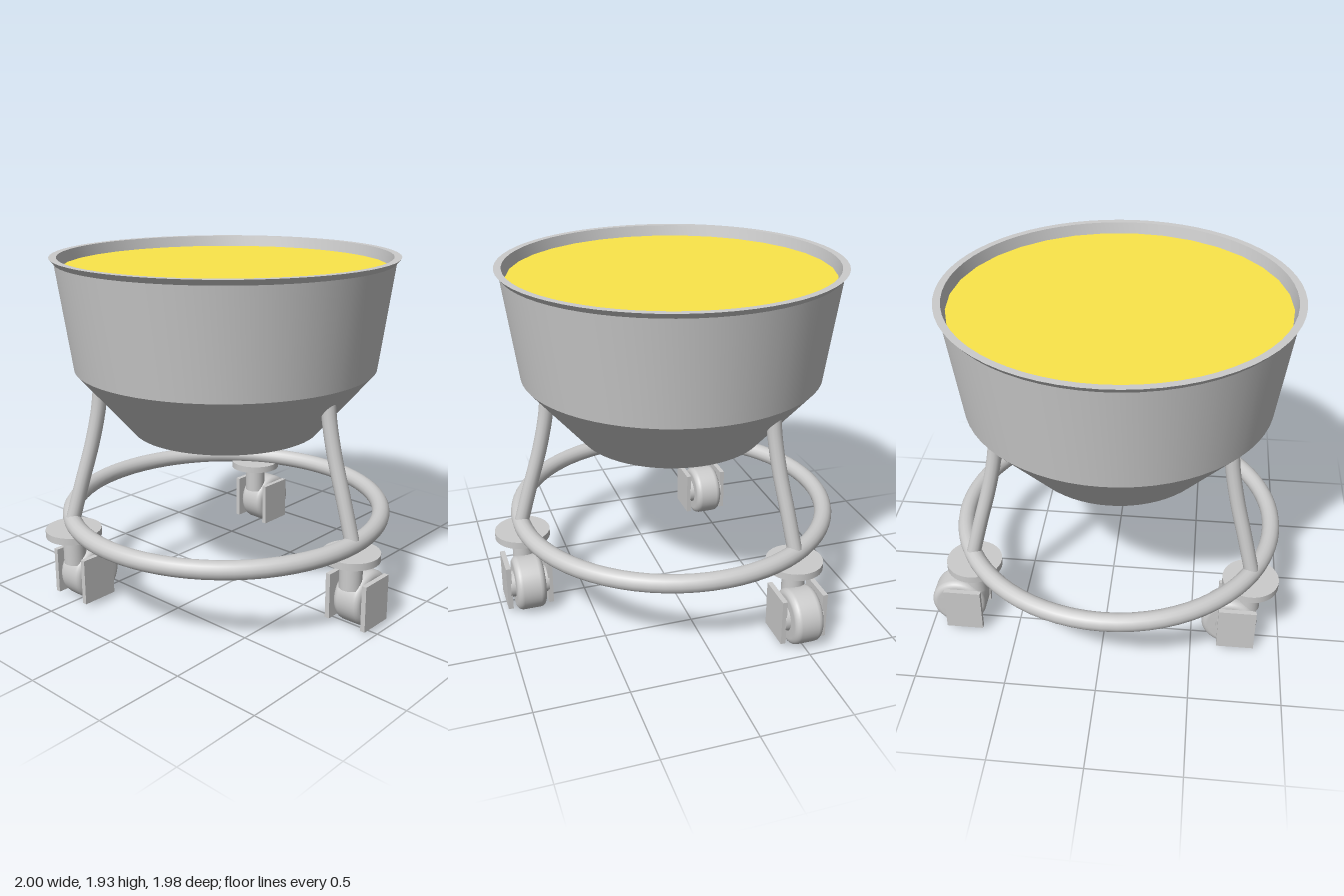
import * as THREE from 'three';
import { toCreasedNormals } from 'three/addons/utils/BufferGeometryUtils.js';

const grey = new THREE.MeshStandardMaterial({ color: 0xcccccc });
const greyThin = new THREE.MeshStandardMaterial({ color: 0xcccccc, side: THREE.DoubleSide });
const yellow = new THREE.MeshStandardMaterial({ color: 0xfbe64a });

function add(parent, name, geometry, material, x = 0, y = 0, z = 0) {
  const mesh = new THREE.Mesh(geometry, material);
  mesh.name = name;
  mesh.position.set(x, y, z);
  parent.add(mesh);
  return mesh;
}

const points = (list) => list.map(([r, y]) => new THREE.Vector2(r, y));

// Swivel caster; its origin lies on the floor below the mounting plate
function createCaster() {
  const caster = new THREE.Group();
  add(caster, 'mountingPlate', new THREE.CylinderGeometry(0.155, 0.155, 0.04, 40), grey, 0, 0.425, 0);
  add(caster, 'stem', new THREE.CylinderGeometry(0.063, 0.063, 0.17, 24), grey, 0, 0.325, 0);

  // Wheel with rounded shoulders, turned about the x axis
  const half = 0.083, radius = 0.155, round = 0.035;
  const profile = [[0, -half]];
  for (let i = 0; i <= 4; i++) {
    const a = (i / 4) * Math.PI / 2;
    profile.push([radius - round + round * Math.sin(a), -half + round - round * Math.cos(a)]);
  }
  for (let i = profile.length - 1; i >= 0; i--) profile.push([profile[i][0], -profile[i][1]]);
  const wheel = new THREE.LatheGeometry(points(profile), 40).rotateZ(Math.PI / 2);
  add(caster, 'wheel', wheel, grey, 0, 0.157, -0.1);

  const axle = new THREE.CylinderGeometry(0.075, 0.075, 0.22, 24).rotateZ(Math.PI / 2);
  add(caster, 'axle', axle, grey, 0, 0.157, -0.1);
  for (const side of [-1, 1]) {
    add(caster, 'sidePlate', new THREE.BoxGeometry(0.028, 0.262, 0.208), grey, side * 0.117, 0.163, -0.06);
  }
  return caster;
}

export function createModel() {
  const model = new THREE.Group();
  model.name = 'bowlOnCasters';
  const stand = new THREE.Group();
  stand.name = 'bowlStand';
  stand.position.set(-0.055, 0, 0.035);
  model.add(stand);

  // Bowl: flat base, sloping lower wall, steep upper wall, flared rim
  const bowl = new THREE.LatheGeometry(points([
    [0, 0.955], [0.525, 0.955], [0.84, 1.32], [0.92, 1.9], [0.945, 1.93],
    [0.905, 1.93], [0.88, 1.8],
  ]), 64);
  add(stand, 'bowl', toCreasedNormals(bowl, 0.5), greyThin);

  // Contents filling the bowl to just under the rim
  add(stand, 'filling', new THREE.CylinderGeometry(0.888, 0.878, 0.05, 32), yellow, 0, 1.845, 0);

  // Base ring
  const ringRadius = 0.895;
  add(stand, 'baseRing', new THREE.TorusGeometry(ringRadius, 0.05, 16, 72).rotateX(Math.PI / 2), grey, 0, 0.48, 0);

  // Curved legs and casters, three around
  const path = new THREE.CatmullRomCurve3([
    [0.9, 0.48], [0.835, 0.71], [0.77, 0.93], [0.728, 1.12], [0.712, 1.25],
  ].map(([x, y]) => new THREE.Vector3(x, y, 0)));
  const legGeometry = new THREE.TubeGeometry(path, 24, 0.04, 14);
  for (let i = 0; i < 3; i++) {
    const angle = (i * Math.PI * 2) / 3;
    add(stand, 'leg', legGeometry, greyThin).rotation.y = angle;

    // Casters all trail towards the back
    const caster = createCaster();
    caster.name = 'caster';
    caster.position.set(ringRadius * Math.cos(angle), 0, -ringRadius * Math.sin(angle));
    stand.add(caster);
  }
  return model;
}
